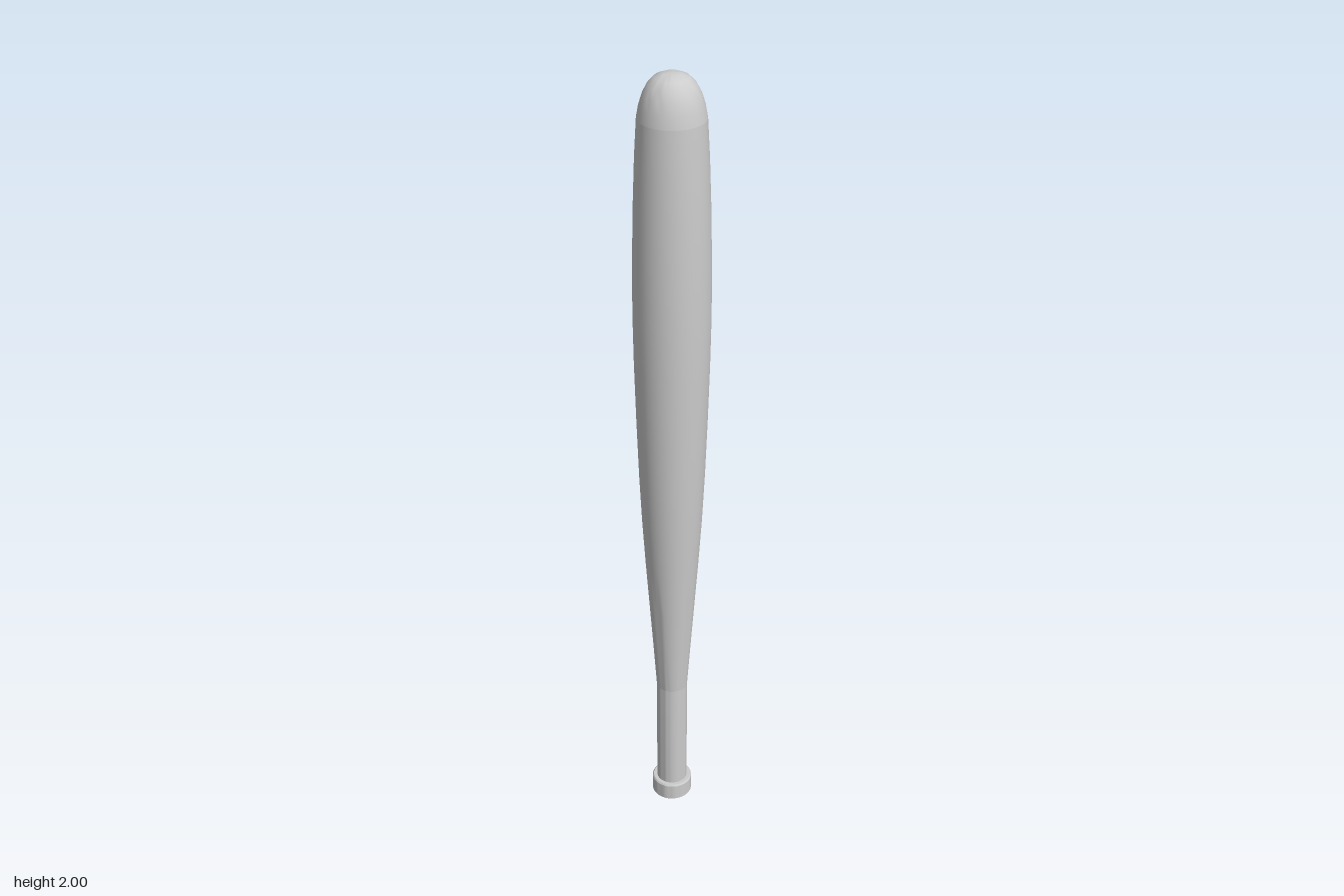
import * as THREE from 'three';
import { toCreasedNormals } from 'three/addons/utils/BufferGeometryUtils.js';

const SIDES = 40;

// Solid of revolution from [radius, height] pairs, bottom to top
function turned(name, profile, material) {
  const points = profile.map(([r, y]) => new THREE.Vector2(r, y));
  const geometry = toCreasedNormals(new THREE.LatheGeometry(points, SIDES), 0.6);
  const mesh = new THREE.Mesh(geometry, material);
  mesh.name = name;
  return mesh;
}

export function createModel() {
  const model = new THREE.Group();
  model.name = 'bat';
  const material = new THREE.MeshStandardMaterial({ color: 0xcccccc });

  // Short disc-like knob with slightly eased edges
  model.add(turned('knob', [
    [0, 0], [0.047, 0], [0.051, 0.004], [0.051, 0.046], [0.048, 0.05], [0.038, 0.05],
  ], material));

  // Straight grip
  model.add(turned('handle', [[0.039, 0.048], [0.039, 0.36]], material));

  // Tapered barrel, widest at two thirds of the height
  model.add(turned('barrel', [
    [0.039, 0.36], [0.047, 0.48], [0.056, 0.61], [0.065, 0.74], [0.073, 0.87],
    [0.079, 1.0], [0.084, 1.15], [0.088, 1.3], [0.09, 1.43], [0.089, 1.57],
    [0.086, 1.7], [0.082, 1.81], [0.077, 1.9],
  ], material));

  // Rounded end with a small flattened crown
  model.add(turned('barrelEnd', [
    [0.077, 1.9], [0.072, 1.928], [0.064, 1.954], [0.053, 1.975],
    [0.039, 1.99], [0.021, 1.998], [0, 2],
  ], material));

  return model;
}
